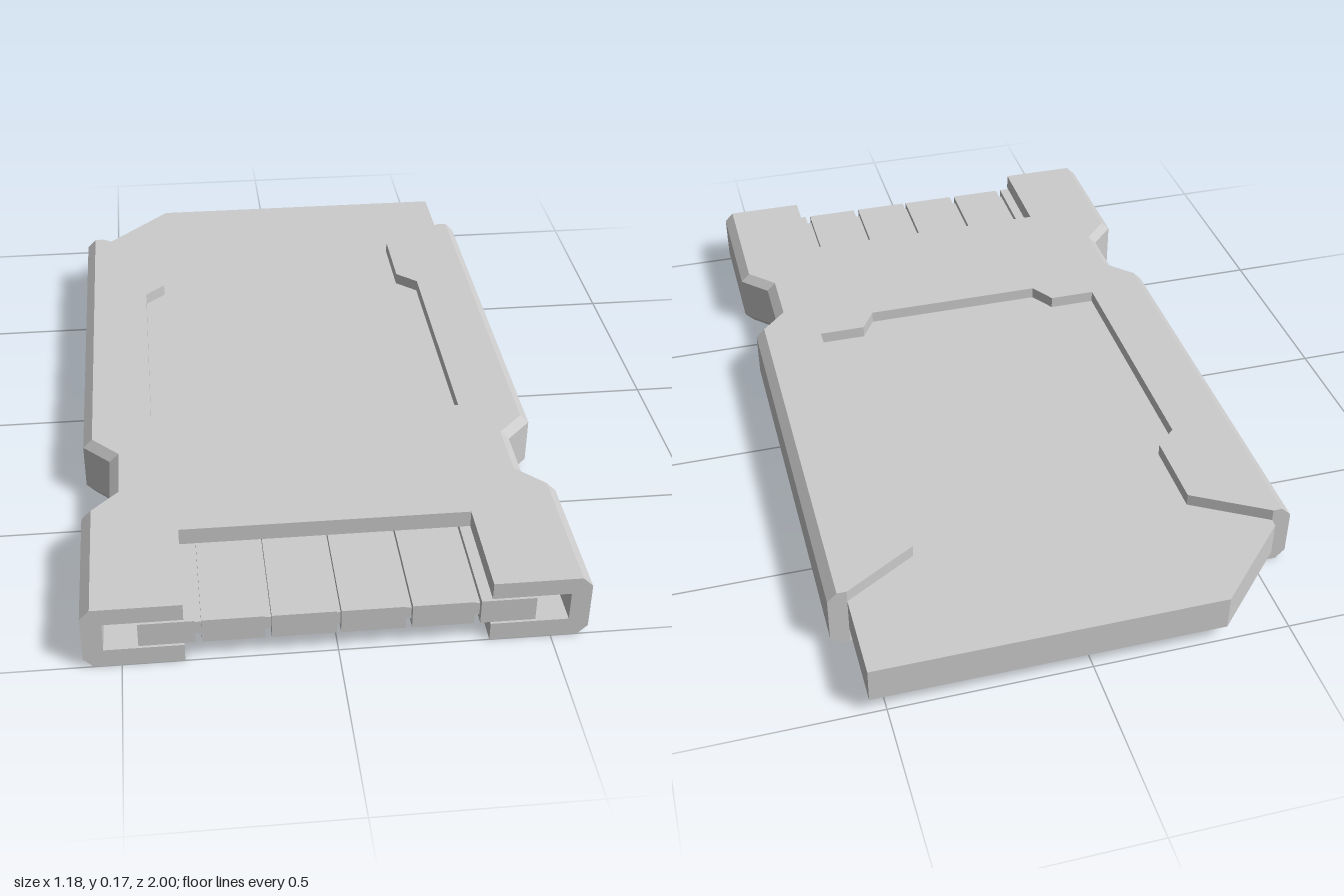
import * as THREE from 'three';

const material = new THREE.MeshStandardMaterial({ color: 0xcccccc, flatShading: true });

// Flat slab from an [x, z] outline, between two heights
function slab(name, outline, y0, y1) {
  const shape = new THREE.Shape(outline.map(([x, z]) => new THREE.Vector2(x, -z)));
  const geo = new THREE.ExtrudeGeometry(shape, { depth: y1 - y0, bevelEnabled: false });
  geo.rotateX(-Math.PI / 2).translate(0, y0, 0);
  const mesh = new THREE.Mesh(geo, material);
  mesh.name = name;
  return mesh;
}

function box(name, x0, x1, y0, y1, z0, z1) {
  const mesh = new THREE.Mesh(new THREE.BoxGeometry(x1 - x0, y1 - y0, z1 - z0), material);
  mesh.position.set((x0 + x1) / 2, (y0 + y1) / 2, (z0 + z1) / 2);
  mesh.name = name;
  return mesh;
}

const H = 0.168, WALL = 0.048, CH = 0.024;
// [z, outer x] along the side, with the grip notch
const EDGE = [[-0.77, 0.588], [0.335, 0.588], [0.405, 0.52], [0.565, 0.52], [0.635, 0.588], [1, 0.588]];

// Chamfered side wall, lofted along the notched edge
function sideRail(name, side) {
  const rings = EDGE.map(([z, o]) => [
    [o - WALL, 0], [o - CH, 0], [o, CH], [o, H - CH], [o - CH, H], [o - WALL, H],
  ].map(([x, y]) => [x * side, y, z]));
  const pos = [];
  const tri = (a, b, c) => pos.push(...a, ...(side > 0 ? b : c), ...(side > 0 ? c : b));
  const n = 6;
  for (let i = 0; i < rings.length - 1; i++) {
    for (let j = 0; j < n; j++) {
      const k = (j + 1) % n;
      const [a, b, c, d] = [rings[i][j], rings[i][k], rings[i + 1][k], rings[i + 1][j]];
      tri(a, b, c);
      tri(a, c, d);
    }
  }
  const back = rings[0], front = rings[rings.length - 1];
  for (let j = 1; j < n - 1; j++) {
    tri(back[0], back[j + 1], back[j]);
    tri(front[0], front[j], front[j + 1]);
  }
  const geo = new THREE.BufferGeometry();
  geo.setAttribute('position', new THREE.Float32BufferAttribute(pos, 3));
  geo.computeVertexNormals();
  const mesh = new THREE.Mesh(geo, material);
  mesh.name = name;
  return mesh;
}

export function createModel() {
  const model = new THREE.Group();
  model.name = 'cardAdapter';

  // Shell: two plates with a stepped window and a contact cut-out, joined by side rails
  const half = [
    [0.245, 0.335], [0.285, 0.27], [0.41, 0.27], [0.41, -0.405], [0.355, -0.455], [0.355, -0.66],
    ...EDGE.map(([z, o]) => [o - WALL, z]),
    [0.355, 1], [0.355, 0.73],
  ];
  const outline = [...half, ...half.map(([x, z]) => [-x, z]).reverse()];
  model.add(slab('bottomPlate', outline, 0, 0.048));
  model.add(slab('topPlate', outline, 0.124, H));
  model.add(sideRail('leftRail', 1), sideRail('rightRail', -1));

  // Inserted card with one cut corner
  model.add(slab('card', [
    [0.54, -1], [0.54, 0.35], [-0.54, 0.35], [-0.54, -0.79], [-0.335, -1],
  ], 0.044, 0.136));

  // Contact fingers with recessed webs in the gaps
  const contacts = new THREE.Group();
  contacts.name = 'contacts';
  const fingers = [[0.005, 0.155], [0.17, 0.315], [0.33, 0.46]];
  for (const [a, b] of fingers) {
    contacts.add(box('leftContact', a, b, 0.054, 0.118, 0.35, 1));
    contacts.add(box('rightContact', -b, -a, 0.054, 0.118, 0.35, 1));
  }
  contacts.add(box('contactWeb', -0.4, 0.4, 0.068, 0.102, 0.35, 0.985));
  model.add(contacts);

  return model;
}
